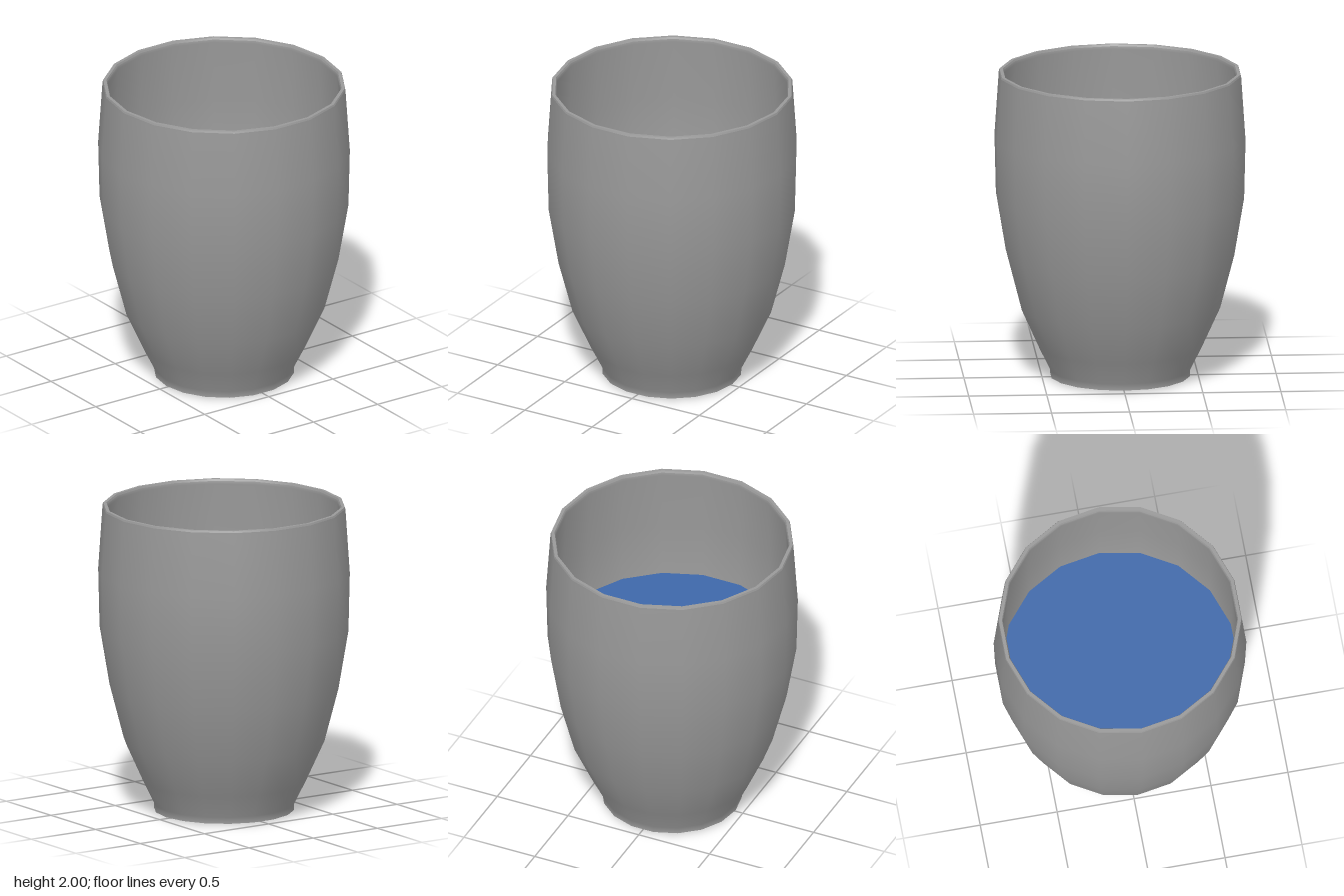
import * as THREE from 'three';

const SIDES = 18;

// Revolve a [radius, height] profile with a corner on the x axis
function turned(name, profile, material) {
  const points = profile.map(([r, y]) => new THREE.Vector2(r, y));
  const mesh = new THREE.Mesh(new THREE.LatheGeometry(points, SIDES, Math.PI / 2), material);
  mesh.name = name;
  return mesh;
}

export function createModel() {
  const group = new THREE.Group();
  group.name = 'cup';
  const grey = new THREE.MeshStandardMaterial({ color: 0x999999 });
  const blue = new THREE.MeshStandardMaterial({ color: 0x3e68a9 });

  // Very slightly domed underside
  group.add(turned('base', [[0, 0], [0.45, 0.009]], grey));

  // Outer wall, from the narrow foot to the rim
  group.add(turned('outerWall', [
    [0.45, 0.009], [0.45, 0.05], [0.525, 0.2], [0.645, 0.465], [0.735, 0.81],
    [0.799, 1.19], [0.808, 1.57], [0.781, 1.97], [0.78, 1.988],
  ], grey));

  // Rim with bevelled edges
  group.add(turned('rimOuterBevel', [[0.78, 1.988], [0.776, 2]], grey));
  group.add(turned('rim', [[0.776, 2], [0.755, 2]], grey));
  group.add(turned('rimInnerBevel', [[0.755, 2], [0.75, 1.988]], grey));

  // Inner wall and floor
  group.add(turned('innerWall', [
    [0.75, 1.988], [0.747, 1.97], [0.765, 1.57], [0.755, 1.19], [0.695, 0.81],
    [0.605, 0.465], [0.485, 0.2], [0.41, 0.07],
  ], grey));
  group.add(turned('innerFloor', [[0.41, 0.07], [0, 0.06]], grey));

  // Drink surface
  const drink = new THREE.Mesh(new THREE.CircleGeometry(0.755, SIDES), blue);
  drink.name = 'drink';
  drink.rotation.x = -Math.PI / 2;
  drink.position.y = 1.2;
  group.add(drink);

  return group;
}
